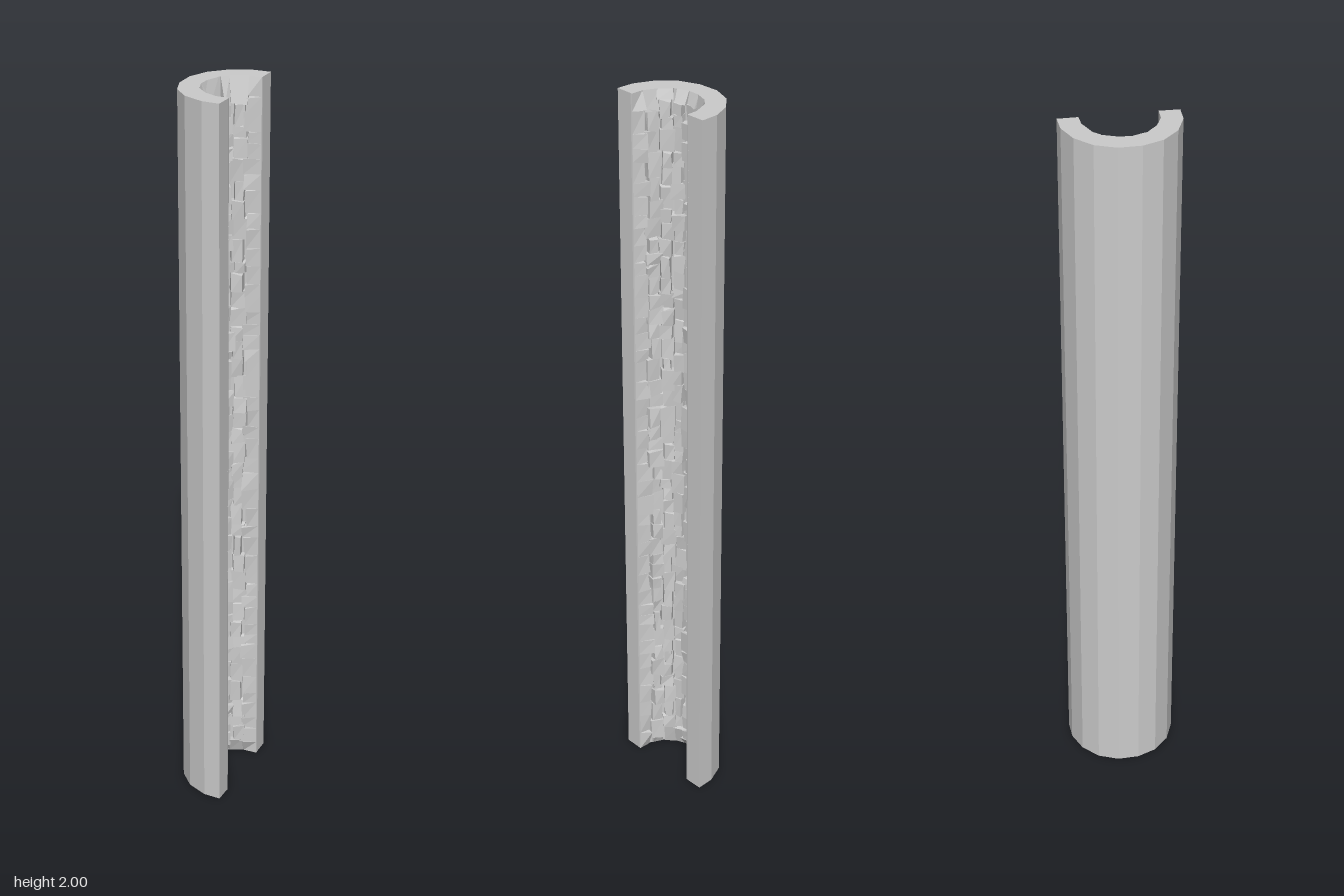
import * as THREE from 'three';

const HEIGHT = 2, CX = 0.051;
const OUTER = [[0.044, -0.152], [-0.004, -0.141], [-0.052, -0.109], [-0.085, -0.061], [-0.097, -0.004],
  [-0.086, 0.054], [-0.057, 0.103], [-0.01, 0.137], [0.049, 0.15], [0.096, 0.143]];
const INNER = [[0.053, -0.101], [0.015, -0.092], [-0.018, -0.071], [-0.038, -0.038], [-0.045, -0.003],
  [-0.038, 0.036], [-0.018, 0.066], [0.013, 0.089], [0.05, 0.098], [0.088, 0.092]];

// Small seeded generator
function seeded(seed) {
  return () => {
    seed = (seed * 1664525 + 1013904223) % 4294967296;
    return seed / 4294967296;
  };
}

// Point on the inner wall at t (0..9 along its facets), moved inward by depth
function wallPoint(t, y, depth) {
  const i = Math.min(Math.floor(t), INNER.length - 2), f = t - i;
  const x = THREE.MathUtils.lerp(INNER[i][0], INNER[i + 1][0], f) - CX;
  const z = THREE.MathUtils.lerp(INNER[i][1], INNER[i + 1][1], f);
  const k = 1 - depth / Math.hypot(x, z);
  return [CX + x * k, y, z * k];
}

function createStones(material) {
  const rand = seeded(17), positions = [];
  const quad = (a, b, c, d) => positions.push(...a, ...b, ...c, ...a, ...c, ...d);
  const jitter = (s) => (rand() - 0.5) * s;
  const last = INNER.length - 1;

  // Each column is a stack of uneven blocks
  for (let col = 0; col < last; col++) {
    let y = 0;
    while (y < HEIGHT) {
      let top = y + 0.028 + rand() * 0.035;
      if (top > HEIGHT - 0.025) top = HEIGHT;
      const base = 0.01 + rand() * 0.013;
      const t0 = col === 0 ? 0 : col + jitter(0.45);
      const t1 = col === last - 1 ? last : col + 1 + jitter(0.45);
      const front = [], back = [];
      for (const [t, cy] of [[t0, y], [t1, y], [t1, top], [t0, top]]) {
        const onEdge = t === 0 || t === last || cy === 0 || cy === HEIGHT;
        const tt = onEdge ? t : THREE.MathUtils.clamp(t + jitter(0.16), 0, last);
        const yy = THREE.MathUtils.clamp(cy + jitter(0.01), 0, HEIGHT);
        front.push(wallPoint(tt, onEdge ? cy : yy, onEdge ? 0.001 : base + jitter(0.008)));
        back.push(wallPoint(t, cy, -0.003));
      }
      // Exposed face and the four sides
      quad(front[3], front[2], front[1], front[0]);
      for (let k = 0; k < 4; k++) {
        const n = (k + 1) % 4;
        quad(front[k], front[n], back[n], back[k]);
      }
      y = top;
    }
  }
  const geometry = new THREE.BufferGeometry();
  geometry.setAttribute('position', new THREE.Float32BufferAttribute(positions, 3));
  geometry.computeVertexNormals();
  return new THREE.Mesh(geometry, material);
}

export function createModel() {
  const group = new THREE.Group();
  const material = new THREE.MeshStandardMaterial({ color: 0xcccccc, flatShading: true, side: THREE.DoubleSide });

  // Faceted half-round shell, extruded upward
  const outline = [...OUTER, ...[...INNER].reverse()].map(([x, z]) => new THREE.Vector2(x, -z));
  const shell = new THREE.Mesh(
    new THREE.ExtrudeGeometry(new THREE.Shape(outline), { depth: HEIGHT, bevelEnabled: false }).rotateX(-Math.PI / 2),
    material);
  shell.name = 'curvedWall';

  // Rough masonry lining the hollow side
  const stones = createStones(material);
  stones.name = 'stoneLining';

  group.add(shell, stones);
  return group;
}
